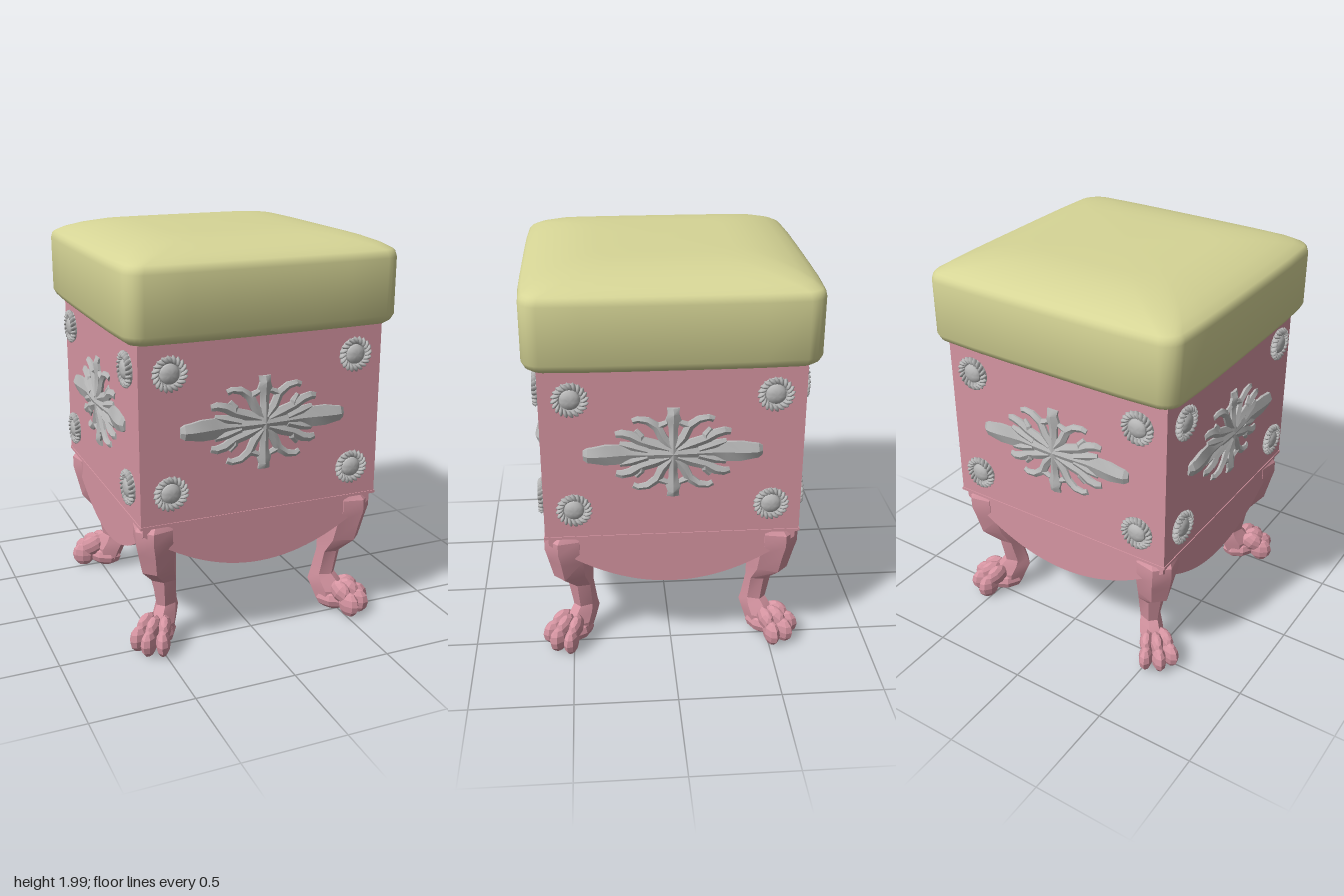
import * as THREE from 'three';
import { toCreasedNormals } from 'three/addons/utils/BufferGeometryUtils.js';

// Skin a stack of closed rings and cap both ends
function loft(rings) {
  const n = rings[0].length, pos = [], idx = [];
  rings.forEach(r => r.forEach(p => pos.push(...p)));
  for (let i = 0; i < rings.length - 1; i++) {
    for (let j = 0; j < n; j++) {
      const a = i * n + j, b = i * n + (j + 1) % n;
      idx.push(a, a + n, b, b, a + n, b + n);
    }
  }
  const mean = r => [0, 1, 2].map(k => r.reduce((s, p) => s + p[k], 0) / n);
  const last = (rings.length - 1) * n, c0 = rings.length * n;
  pos.push(...mean(rings[0]), ...mean(rings[rings.length - 1]));
  for (let j = 0; j < n; j++) {
    const k = (j + 1) % n;
    idx.push(c0, j, k, c0 + 1, last + k, last + j);
  }
  const g = new THREE.BufferGeometry();
  g.setAttribute('position', new THREE.Float32BufferAttribute(pos, 3));
  g.setIndex(idx);
  g.computeVertexNormals();
  return g;
}

const crease = (g, angle) => toCreasedNormals(g, angle);

function add(parent, name, geometry, material, x = 0, y = 0, z = 0) {
  const m = new THREE.Mesh(geometry, material);
  m.name = name;
  m.position.set(x, y, z);
  parent.add(m);
  return m;
}

// Rounded square with gently bowed sides
function cushionRing(y, half, radius) {
  const ring = [], steps = 5, edge = 6, s = half - radius;
  for (let q = 0; q < 4; q++) {
    const a0 = q * Math.PI / 2 - Math.PI / 4;
    const local = [];
    for (let i = 0; i < edge; i++) local.push([half, -s + 2 * s * i / edge]);
    for (let i = 0; i < steps; i++) {
      const t = i / steps * Math.PI / 2;
      local.push([s + radius * Math.cos(t), s + radius * Math.sin(t)]);
    }
    const turn = a0 + Math.PI / 4, c = Math.cos(turn), sn = Math.sin(turn);
    for (const [u, v] of local) {
      const x = u * (1 - 0.025 * (v / half) ** 4), z = v * (1 - 0.025 * (u / half) ** 4 * (Math.abs(v) / half) ** 2);
      ring.push([x * c - z * sn, y, x * sn + z * c]);
    }
  }
  return ring;
}

// Ridged leaf along a flat path; each point is [x, y, half width, height]
function leaf(points) {
  const rings = points.map(([x, y, w, h], i) => {
    const a = points[Math.max(0, i - 1)], b = points[Math.min(points.length - 1, i + 1)];
    const len = Math.hypot(b[0] - a[0], b[1] - a[1]);
    const nx = -(b[1] - a[1]) / len * w, ny = (b[0] - a[0]) / len * w;
    return [[x - nx, y - ny, 0], [x - nx, y - ny, h * 0.5], [x, y, h], [x + nx, y + ny, h * 0.5], [x + nx, y + ny, 0]];
  });
  return crease(loft(rings), 0.4);
}

export function createModel() {
  const model = new THREE.Group();
  model.name = 'footstool';
  const pink = new THREE.MeshStandardMaterial({ color: 0xd695a2 });
  pink.name = 'pink paint';
  const cream = new THREE.MeshStandardMaterial({ color: 0xd6d596 });
  cream.name = 'yellow upholstery';
  const grey = new THREE.MeshStandardMaterial({ color: 0xb8b8b8 });
  grey.name = 'grey metal';

  // Body with a thin lower lip
  add(model, 'body', new THREE.BoxGeometry(1.23, 0.86, 1.23), pink, 0, 1.13, 0);
  add(model, 'bodyLip', new THREE.BoxGeometry(1.238, 0.014, 1.238), pink, 0, 0.697, 0);

  // Cushion: rounded underside, straight sides, domed top
  const cushion = [
    [1.56, 0.63, 0.05], [1.566, 0.655, 0.06], [1.582, 0.676, 0.07], [1.61, 0.69, 0.08],
    [1.88, 0.69, 0.08], [1.905, 0.684, 0.08], [1.917, 0.672, 0.07], [1.94, 0.635, 0.09],
    [1.963, 0.575, 0.11], [1.984, 0.49, 0.12], [1.996, 0.4, 0.12], [2.0, 0.32, 0.1]
  ];
  add(model, 'cushion', crease(loft(cushion.map(p => cushionRing(...p))), 0.6), cream);

  // Curved apron board
  const apron = new THREE.Shape();
  apron.moveTo(-0.598, 0.695);
  for (let i = 0; i <= 28; i++) {
    const x = -0.598 + 1.196 * i / 28;
    apron.lineTo(x, 0.42 + 0.14 * (x / 0.47) ** 2);
  }
  apron.lineTo(0.598, 0.695);
  const apronGeometry = new THREE.ExtrudeGeometry(apron, { depth: 0.06, bevelEnabled: false });

  // Leaf ornament: straight arms plus curling side leaves mirrored four ways
  const leaves = [];
  for (const s of [-1, 1]) {
    leaves.push(leaf([
      [0, 0, 0.045, 0.03], [s * 0.1, 0, 0.028, 0.026], [s * 0.19, 0, 0.026, 0.02], [s * 0.25, 0, 0.05, 0.024],
      [s * 0.32, 0, 0.05, 0.032], [s * 0.37, 0, 0.04, 0.034], [s * 0.4, 0, 0.036, 0.03], [s * 0.42, 0, 0.024, 0.014]
    ]));
    leaves.push(leaf([
      [0, 0, 0.05, 0.03], [0, s * 0.08, 0.02, 0.026], [0, s * 0.13, 0.022, 0.022], [0, s * 0.17, 0.036, 0.026],
      [0, s * 0.2, 0.026, 0.03], [0, s * 0.228, 0.03, 0.016]
    ]));
    for (const t of [-1, 1]) {
      const curl = pts => leaves.push(leaf(pts.map(([x, y, w, h]) => [s * x, t * y, w, h])));
      curl([[0.01, 0.03, 0.02, 0.026], [0.05, 0.08, 0.022, 0.026], [0.075, 0.135, 0.022, 0.022],
        [0.12, 0.168, 0.018, 0.024], [0.165, 0.175, 0.015, 0.02], [0.188, 0.165, 0.015, 0.012]]);
      curl([[0.075, 0.135, 0.018, 0.02], [0.03, 0.155, 0.013, 0.018], [0.028, 0.175, 0.006, 0.01]]
        .map(([x, y, w, h]) => [x, y, w, h]));
      curl([[0.02, 0.02, 0.02, 0.026], [0.09, 0.045, 0.026, 0.026], [0.15, 0.065, 0.024, 0.022],
        [0.2, 0.095, 0.022, 0.024], [0.24, 0.105, 0.02, 0.02], [0.268, 0.1, 0.016, 0.01]]);
      curl([[0.15, 0.06, 0.018, 0.02], [0.15, 0.09, 0.016, 0.02], [0.175, 0.12, 0.012, 0.01]]);
      curl([[0.12, 0.015, 0.022, 0.024], [0.2, 0.04, 0.02, 0.022], [0.25, 0.052, 0.014, 0.012]]);
    }
  }

  // Rosette: shallow dish, dome and a twisted rim of small beads
  const dish = new THREE.LatheGeometry(
    [[0.078, 0], [0.076, 0.012], [0.058, 0.016], [0.048, 0.01], [0.046, 0.02], [0.036, 0.029], [0.018, 0.034], [0, 0.035]]
      .map(([r, h]) => new THREE.Vector2(r, h)), 18);
  dish.rotateX(Math.PI / 2);
  const dishGeometry = crease(dish, 0.5);
  const bead = new THREE.SphereGeometry(1, 6, 5);
  bead.scale(0.023, 0.0095, 0.017);

  // One set of boards and ornaments on each side
  ['front', 'left', 'back', 'right'].forEach((side, k) => {
    const face = new THREE.Group();
    face.name = side + 'Face';
    face.rotation.y = k * Math.PI / 2;
    model.add(face);
    add(face, 'apron', apronGeometry, pink, 0, 0, 0.54);
    const ornament = new THREE.Group();
    ornament.name = 'leafOrnament';
    ornament.position.set(0, 1.14, 0.614);
    face.add(ornament);
    leaves.forEach(g => add(ornament, 'ornamentLeaf', g, grey));
    for (const x of [-0.47, 0.47]) {
      for (const y of [0.855, 1.425]) {
        const rosette = new THREE.Group();
        rosette.name = 'rosette';
        rosette.position.set(x, y, 0.614);
        face.add(rosette);
        add(rosette, 'rosetteCentre', dishGeometry, grey);
        for (let i = 0; i < 20; i++) {
          const a = i / 20 * Math.PI * 2;
          const b = add(rosette, 'rosetteBead', bead, grey, 0.068 * Math.cos(a), 0.068 * Math.sin(a), 0.016);
          b.rotation.z = a + 0.6;
        }
      }
    }
  });

  // Faceted cabriole leg; rows are [y, inner, outer, half width] along the diagonal
  const legRows = [
    [0.06, 0.6, 0.72, 0.055], [0.12, 0.575, 0.74, 0.062], [0.17, 0.55, 0.71, 0.058], [0.21, 0.56, 0.675, 0.052],
    [0.35, 0.595, 0.70, 0.07], [0.43, 0.6, 0.79, 0.085], [0.53, 0.625, 0.815, 0.1],
    [0.6, 0.66, 0.835, 0.105], [0.66, 0.66, 0.835, 0.105], [0.692, 0.66, 0.81, 0.1]
  ];
  const legGeometry = crease(loft(legRows.map(([y, i, o, w]) => {
    const m = (i + o) / 2;
    return [[o, y, -0.45 * w], [o, y, 0.45 * w], [m, y, w], [i, y, 0.6 * w], [i, y, -0.6 * w], [m, y, -w]];
  })), 0.3);
  const lump = crease(new THREE.SphereGeometry(1, 8, 6), 0.3);

  // Legs with clawed feet: pad, knuckles and three toes
  for (let k = 0; k < 4; k++) {
    const leg = new THREE.Group();
    leg.name = 'leg';
    leg.rotation.y = Math.PI / 4 + k * Math.PI / 2;
    model.add(leg);
    add(leg, 'legShaft', legGeometry, pink);
    add(leg, 'footPad', lump, pink, 0.68, 0.07, 0).scale.set(0.1, 0.06, 0.07);
    for (const t of [-1, 0, 1]) {
      const out = t ? 0 : 0.025;
      const knuckle = add(leg, 'knuckle', lump, pink, 0.735 + out, 0.13, t * 0.048);
      knuckle.scale.set(0.065, 0.055, 0.034);
      knuckle.rotation.set(0, -t * 0.35, -0.5);
      const toe = add(leg, 'toe', lump, pink, 0.785 + out, 0.075, t * 0.062);
      toe.scale.set(0.062, 0.068, 0.036);
      toe.rotation.y = -t * 0.4;
    }
  }
  return model;
}
